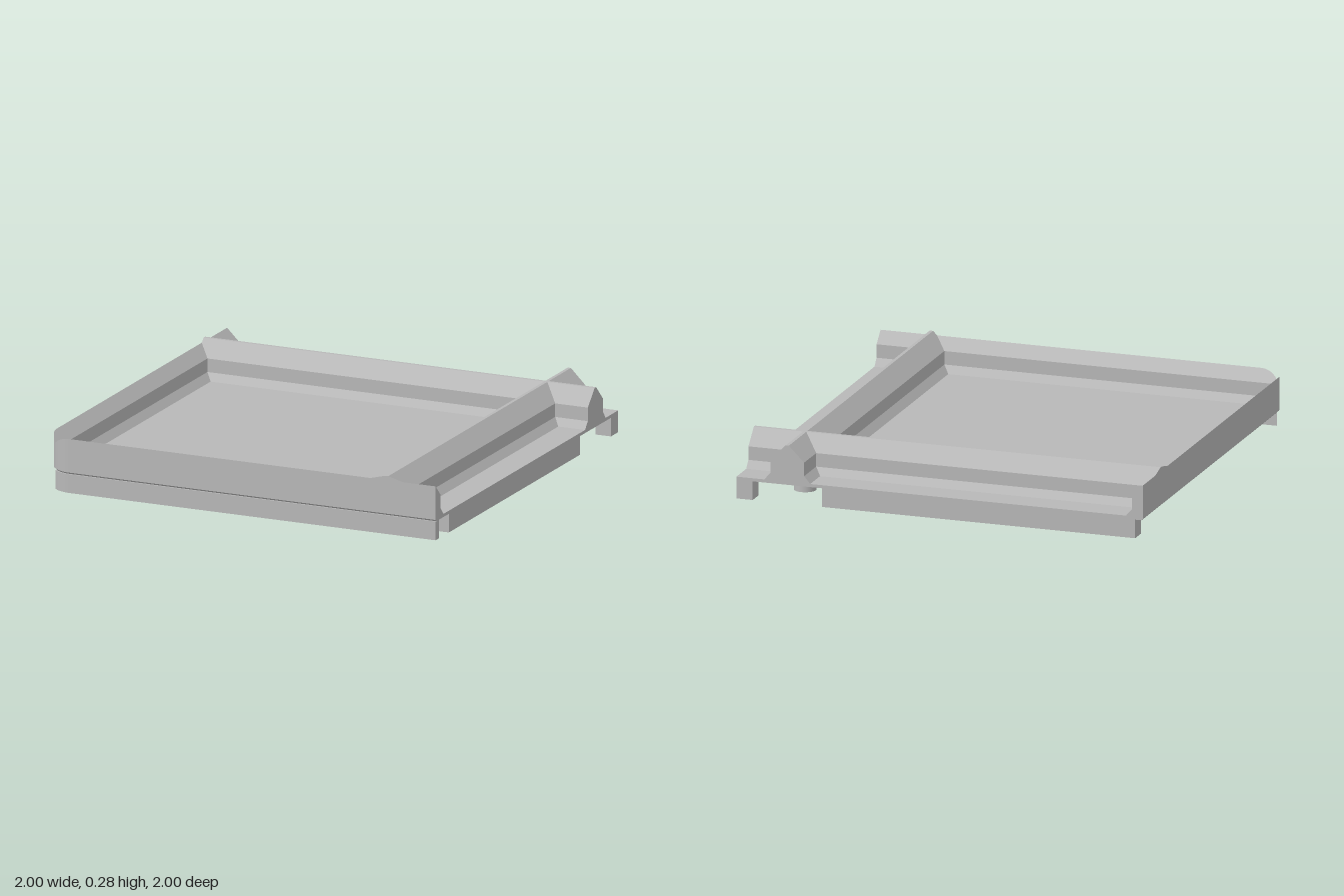
import * as THREE from 'three';

// Plan coordinates: u = x, v = -z, so loops counter-clockwise in (u, v) face up.
const TOP = 0.28, BASE = 0.09, FLOOR = 0.105;
const POCKETS = [[-1.02, 0.742], [0.758, 2.52]];
const PROFILE = [[0, TOP], [0.075, 0.205], [0.075, 0.14], [0.105, FLOOR]]; // inset, height
const R = 0.13, C = R - 1;

// Square outline with one rounded corner at the front
const outline = [[1, -1], [1, 1], [-1, 1]];
for (let i = 0; i <= 16; i++) {
  const a = Math.PI * (1 + i / 32);
  outline.push([C + R * Math.cos(a), C + R * Math.sin(a)]);
}

// Clip a polygon of [u, v, y] points to the convex outline
function clip(poly) {
  outline.forEach((a, i) => {
    const b = outline[(i + 1) % outline.length];
    const side = p => (b[0] - a[0]) * (p[1] - a[1]) - (b[1] - a[1]) * (p[0] - a[0]);
    const out = [];
    poly.forEach((p, k) => {
      const q = poly[(k + 1) % poly.length], sp = side(p), sq = side(q);
      if (sp >= -1e-9) out.push(p);
      if ((sp > 1e-9 && sq < -1e-9) || (sp < -1e-9 && sq > 1e-9)) {
        const t = sp / (sp - sq);
        out.push(p.map((c, j) => c + (q[j] - c) * t));
      }
    });
    poly = out;
  });
  return poly;
}

// Geometry from a list of convex polygons
function fromPolygons(polys) {
  const pos = [];
  for (const p of polys) {
    for (let i = 1; i + 1 < p.length; i++) {
      for (const [u, v, y] of [p[0], p[i], p[i + 1]]) pos.push(u, y, -v);
    }
  }
  const g = new THREE.BufferGeometry();
  g.setAttribute('position', new THREE.Float32BufferAttribute(pos, 3));
  g.computeVertexNormals();
  return g;
}

// Height of the stepped rim along one axis
function rim(s) {
  for (const [lo, hi] of POCKETS) {
    const d = Math.min(s - lo, hi - s);
    if (d <= 0) continue;
    if (d < 0.075) return TOP - d;
    if (d < 0.105) return 0.14 - (d - 0.075) * 35 / 30;
    return FLOOR;
  }
  return TOP;
}

const rect = (a, b, c, d, y) => [[a, c, y], [b, c, y], [b, d, y], [a, d, y]];

// Extrude a plan loop upwards, with optional holes
function slab(points, y0, y1, holes = []) {
  const toVec = list => list.map(p => new THREE.Vector2(p[0], p[1]));
  const shape = new THREE.Shape(toVec(points));
  for (const h of holes) shape.holes.push(new THREE.Path(toVec(h)));
  const g = new THREE.ExtrudeGeometry(shape, { depth: y1 - y0, bevelEnabled: false });
  return g.rotateX(-Math.PI / 2).translate(0, y0, 0);
}

export function createModel() {
  const group = new THREE.Group();
  const grey = new THREE.MeshStandardMaterial({ color: 0xb8b8b8 });
  grey.name = 'plain grey';
  const add = (name, geometry) => {
    const mesh = new THREE.Mesh(geometry, grey);
    mesh.name = name;
    group.add(mesh);
    return mesh;
  };

  // Four pockets with stepped, mitred walls, trimmed by the outline
  for (const [u0, u1] of POCKETS) {
    for (const [v0, v1] of POCKETS) {
      const rings = PROFILE.map(([d, y]) => rect(u0 + d, u1 - d, v0 + d, v1 - d, y));
      const faces = [clip(rings[3])];
      for (let i = 0; i < 3; i++) {
        for (let k = 0; k < 4; k++) {
          const n = (k + 1) % 4;
          faces.push(clip([rings[i][k], rings[i][n], rings[i + 1][n], rings[i + 1][k]]));
        }
      }
      add('pocket', fromPolygons(faces));
    }
  }

  // Narrow flats along the two crossing ridges
  add('ridgeTops', fromPolygons([
    rect(0.742, 0.758, -1, 1, TOP), rect(-1, 0.742, 0.742, 0.758, TOP), rect(0.758, 1, 0.742, 0.758, TOP),
  ]));

  // Outer sides follow the rim section, with a small chamfer under the closed sides
  const stops = [];
  for (const [lo, hi] of POCKETS) {
    for (const d of [0, 0.07499, 0.07501, 0.105]) stops.push(lo + d, hi - d);
  }
  stops.sort((a, b) => a - b);
  const loop = [];
  outline.forEach((a, i) => {
    const b = outline[(i + 1) % outline.length];
    loop.push(a);
    const axis = Math.abs(b[0] - a[0]) > Math.abs(b[1] - a[1]) ? 0 : 1;
    if (Math.hypot(b[0] - a[0], b[1] - a[1]) < 0.5) return;
    stops.map(s => (s - a[axis]) / (b[axis] - a[axis])).filter(t => t > 0 && t < 1)
      .sort((p, q) => p - q)
      .forEach(t => loop.push([a[0] + (b[0] - a[0]) * t, a[1] + (b[1] - a[1]) * t]));
  });
  const columns = loop.map(([u, v]) => {
    const nu = Math.min(u - C, 0), nv = Math.min(v - C, 0), len = Math.hypot(nu, nv) || 1;
    return [
      [u - nu / len * 0.008, v - nv / len * 0.008, BASE],
      [u, v, 0.098],
      [u, v, Math.max(rim(u), rim(v))],
    ];
  });
  const sides = [];
  columns.forEach((a, i) => {
    const b = columns[(i + 1) % columns.length];
    for (let r = 0; r < 2; r++) sides.push([a[r], b[r], b[r + 1], a[r + 1]]);
  });
  add('outerSides', fromPolygons(sides));
  add('underside', fromPolygons([columns.map(c => c[0]).reverse()]));

  // Foot pad with two slots in its lower face
  const lo = -0.855, hi = 0.58;
  add('footPad', slab(rect(lo, hi, lo, hi, 0), 0, 0.05,
    [rect(0.24, 0.29, -0.47, -0.01, 0), rect(-0.76, 0.06, 0.25, 0.3, 0)]));
  add('footPadCore', slab(rect(lo, hi, lo, hi, 0), 0.05, BASE));

  // Edge rails and corner post
  add('frontRail', slab(clip(rect(-1, 1, -1, -0.96, 0)), 0, BASE));
  add('backRail', slab(rect(-0.96, hi, 0.92, 1, 0), 0, BASE));
  add('sideRail', slab(rect(0.92, 1, lo, hi, 0), 0, BASE));
  add('cornerPost', slab(rect(0.92, 1, 0.92, 1, 0), 0, BASE));

  // Locating pegs
  for (const [x, z] of [[0.75, -0.75], [0.75, 0.75], [-0.75, -0.75]]) {
    add('peg', new THREE.CylinderGeometry(0.053, 0.053, BASE, 32)).position.set(x, BASE / 2, z);
  }
  return group;
}
